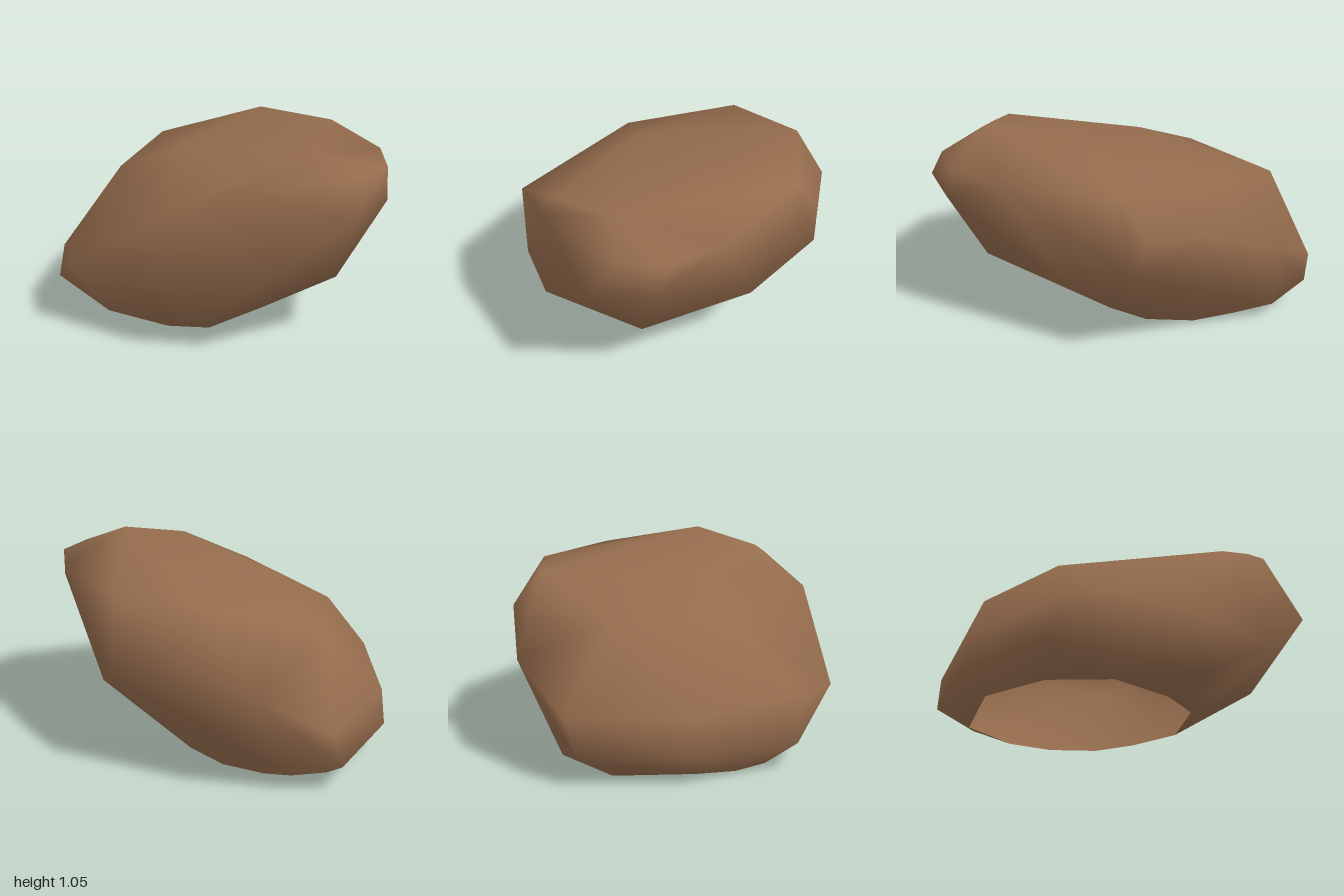
import * as THREE from 'three';
import { mergeVertices } from 'three/addons/utils/BufferGeometryUtils.js';
import { ConvexGeometry } from 'three/addons/geometries/ConvexGeometry.js';

// Rim of the open underside
const rim = [
  [0.30, 0.01, -0.84], [-0.12, 0.03, -0.87], [-0.33, 0.01, -0.78], [-0.49, 0.01, -0.67],
  [-0.61, 0.02, -0.35], [-0.53, 0.01, -0.02], [-0.40, 0.00, 0.17], [-0.03, 0.01, 0.25],
  [0.22, 0.01, 0.10], [0.39, 0.01, -0.06], [0.48, 0.01, -0.31], [0.47, 0.01, -0.55],
];

// Corners of the lower flanks, the widest band and the crown
const lower = [
  [-0.75, 0.11, -0.25], [-0.69, 0.11, 0.13], [-0.65, 0.15, -0.75], [-0.12, 0.16, -1.00],
  [0.46, 0.15, -0.99], [0.56, 0.09, -0.75], [-0.03, 0.34, 0.75], [-0.59, 0.37, 0.56],
];
const middle = [
  [-0.86, 0.37, -0.43], [-0.69, 0.38, -0.65], [-0.12, 0.36, -0.975], [0.53, 0.36, -0.965],
  [0.79, 0.57, -0.65], [0.86, 0.76, -0.22], [0.84, 0.74, 0.08], [0.84, 0.56, 0.15],
  [0.52, 0.37, 0.42], [0.09, 0.79, 0.97], [-0.26, 0.77, 1.00], [-0.78, 0.34, 0.20],
];
const crown = [
  [-0.78, 0.78, 0.19], [-0.58, 0.92, 0.56], [-0.52, 0.97, 0.50], [-0.18, 1.05, 0.71],
  [-0.12, 0.955, 0.95], [0.13, 0.955, 0.94], [0.40, 0.955, 0.73], [0.73, 0.955, 0.19],
  [0.70, 0.96, -0.32], [-0.20, 0.93, -0.20], [-0.31, 0.77, -0.56], [0.31, 0.80, -0.80],
];

export function createModel() {
  const group = new THREE.Group();
  group.name = 'boulder';
  const stone = new THREE.MeshStandardMaterial({ color: 0x956c4d, side: THREE.DoubleSide });
  stone.name = 'brown stone';

  const points = [...rim, ...lower, ...middle, ...crown].map((p) => new THREE.Vector3(...p));
  const hull = new ConvexGeometry(points).getAttribute('position');

  // Keep every face except those closing the underside
  const shell = [];
  for (let i = 0; i < hull.count; i += 3) {
    const corners = [i, i + 1, i + 2];
    if (corners.every((k) => hull.getY(k) < 0.05)) continue;
    for (const k of corners) shell.push(hull.getX(k), hull.getY(k), hull.getZ(k));
  }

  // Share the corners so the surface is shaded smoothly
  const geometry = new THREE.BufferGeometry();
  geometry.setAttribute('position', new THREE.Float32BufferAttribute(shell, 3));
  const smooth = mergeVertices(geometry, 1e-4);
  smooth.computeVertexNormals();
  const body = new THREE.Mesh(smooth, stone);
  body.name = 'boulderShell';
  group.add(body);
  return group;
}
